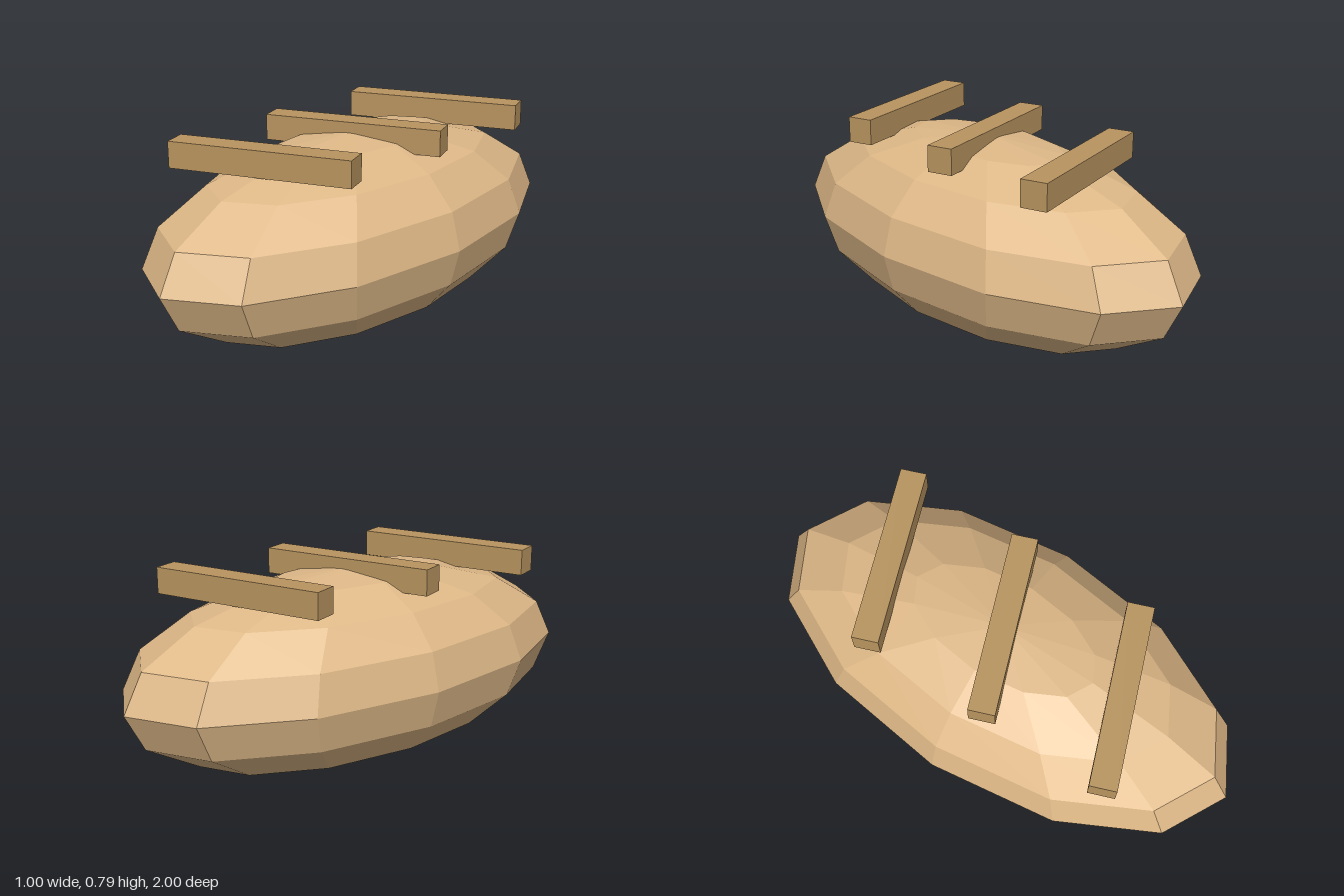
import * as THREE from 'three';

export function createModel() {
  const model = new THREE.Group();
  model.name = 'breadLoaf';
  const crust = new THREE.MeshStandardMaterial({ color: 0xdeb887, flatShading: true });
  const scored = new THREE.MeshStandardMaterial({ color: 0xb8945f, flatShading: true });

  // Faceted loaf, stretched along z
  const loaf = new THREE.Mesh(new THREE.SphereGeometry(1, 12, 8), crust);
  loaf.name = 'loaf';
  loaf.scale.set(0.5, 0.375, 1);
  loaf.position.y = 0.375;
  model.add(loaf);

  // Three slanted score bars across the top
  const barGeometry = new THREE.BoxGeometry(0.7, 0.1, 0.1);
  for (const z of [-0.5, 0, 0.5]) {
    const bar = new THREE.Mesh(barGeometry, scored);
    bar.name = 'scoreBar';
    bar.position.set(0, 0.7375, z);
    bar.rotation.y = THREE.MathUtils.degToRad(20);
    model.add(bar);
  }
  return model;
}
